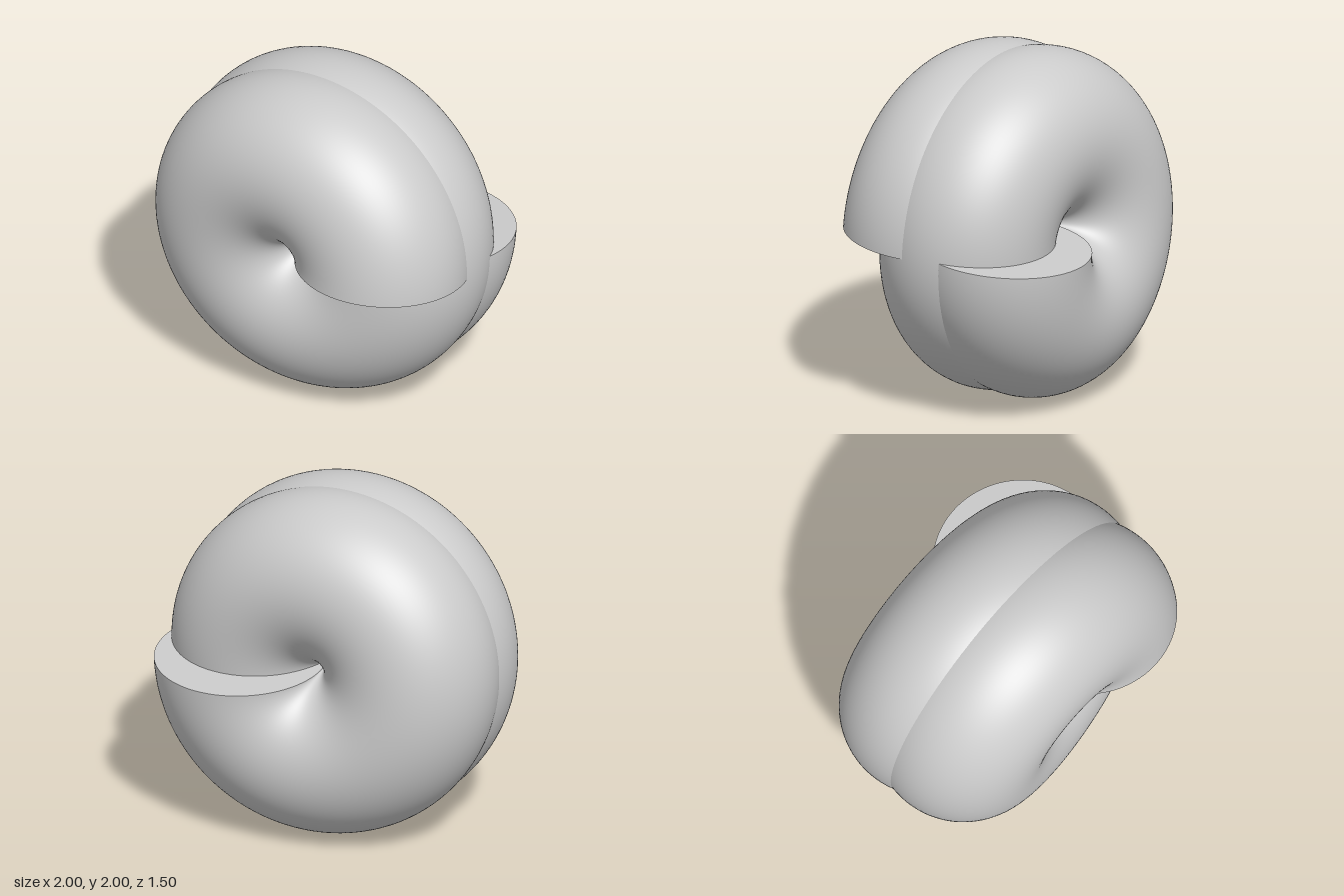
import * as THREE from 'three';

const RADIUS = 0.5; // ring radius and tube radius are equal, so the hole closes to a point
const TURNS = 2;
const PITCH = 0.25;

// Helix along z, starting at the back on the +x side and first heading down
class Helix extends THREE.Curve {
  getPoint(t, target = new THREE.Vector3()) {
    const a = -t * TURNS * Math.PI * 2;
    return target.set(RADIUS * Math.cos(a), 1 + RADIUS * Math.sin(a), (t - 0.5) * TURNS * PITCH);
  }
}

export function createModel() {
  const group = new THREE.Group();
  group.name = 'helicalCoil';
  const material = new THREE.MeshStandardMaterial({ color: 0xcccccc });
  const path = new Helix();

  // Thick tube swept along the helix
  const coil = new THREE.Mesh(new THREE.TubeGeometry(path, 320, RADIUS, 96, false), material);
  coil.name = 'coilTube';
  group.add(coil);

  // Flat discs closing both ends, facing outwards along the path
  const addCap = (name, t, direction) => {
    const cap = new THREE.Mesh(new THREE.CircleGeometry(RADIUS, 96), material);
    cap.name = name;
    cap.position.copy(path.getPoint(t));
    const normal = path.getTangent(t).multiplyScalar(direction);
    cap.quaternion.setFromUnitVectors(new THREE.Vector3(0, 0, 1), normal);
    group.add(cap);
  };
  addCap('backEndCap', 0, -1);
  addCap('frontEndCap', 1, 1);

  return group;
}
